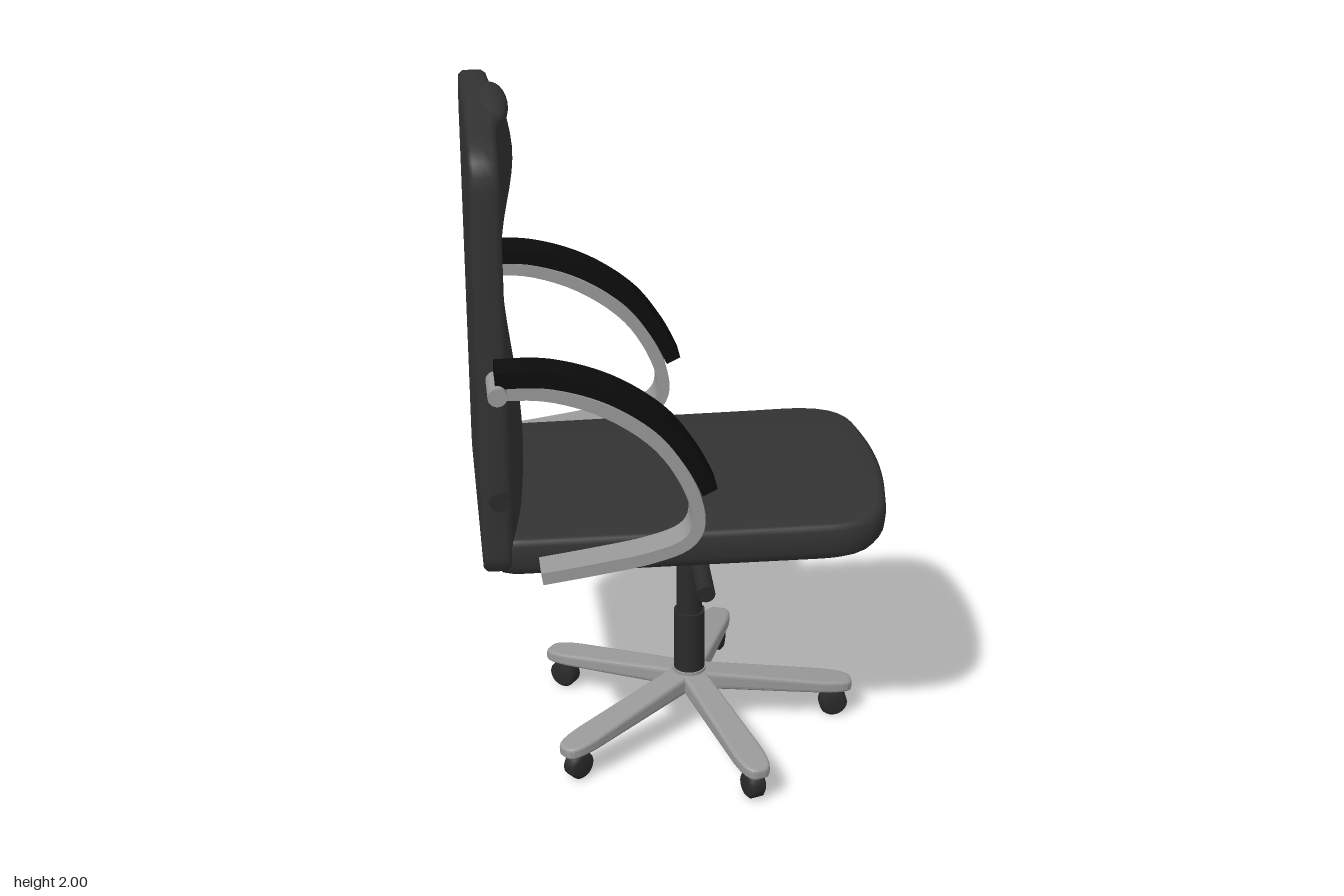
import * as THREE from 'three';

const mat = (color) => new THREE.MeshStandardMaterial({ color });
const leather = mat(0x333333), rubber = mat(0x0c0c0c), plastic = mat(0x2a2a2a), metal = mat(0x999999);
const V = (x, y, z) => new THREE.Vector3(x, y, z);

function add(parent, name, geometry, material) {
  const mesh = new THREE.Mesh(geometry, material);
  mesh.name = name;
  parent.add(mesh);
  return mesh;
}

// Cylinder running between two points
function rod(parent, name, a, b, r, material) {
  const d = b.clone().sub(a);
  const mesh = add(parent, name, new THREE.CylinderGeometry(r, r, d.length(), 24), material);
  mesh.position.copy(a).lerp(b, 0.5);
  mesh.quaternion.setFromUnitVectors(V(0, 1, 0), d.normalize());
  return mesh;
}

// Soft pad: rings of one outline, from the bottom centre round the rim to the top centre.
// section rows are [scale, height 0..1]; top(x, z) is the height of the upper face.
function cushion(shape, section, top) {
  const outline = shape.getSpacedPoints(96), n = outline.length, pos = [], idx = [];
  for (const [s, h] of section) {
    for (const p of outline) {
      const x = p.x * s, z = p.y * s;
      pos.push(x, h * top(x, z), z);
    }
  }
  for (let j = 0; j < section.length - 1; j++) {
    for (let i = 0; i < n; i++) {
      const a = j * n + i, b = j * n + (i + 1) % n;
      idx.push(a, a + n, b, b, a + n, b + n);
    }
  }
  const g = new THREE.BufferGeometry();
  g.setAttribute('position', new THREE.Float32BufferAttribute(pos, 3));
  g.setIndex(idx);
  g.computeVertexNormals();
  return g;
}

// Section with a rounded rim and finely divided upper face
function padSection(rim) {
  const rows = [[0.001, 0], [0.5, 0], [0.93, 0], ...rim];
  for (let i = 1; i <= 16; i++) rows.push([0.965 * (1 - i / 16) + 0.001, 1]);
  return rows;
}

// Flat strip that follows a curve in the side plane, between two offsets from it
function ribbon(points, inner, outer, width) {
  const curve = new THREE.SplineCurve(points.map(([x, y]) => new THREE.Vector2(x, y)));
  const a = [], b = [];
  for (let i = 0; i <= 40; i++) {
    const p = curve.getPoint(i / 40), t = curve.getTangent(i / 40);
    const n = new THREE.Vector2(-t.y, t.x);
    a.push(p.clone().addScaledVector(n, outer));
    b.unshift(p.clone().addScaledVector(n, inner));
  }
  return new THREE.ExtrudeGeometry(new THREE.Shape([...a, ...b]), { depth: width, bevelEnabled: false });
}

const bell = (d, w) => Math.exp(-(d * d) / (w * w));

function buildSeat(chair) {
  const s = new THREE.Shape();
  s.moveTo(-0.55, -0.38);
  s.lineTo(0.38, -0.39);
  s.bezierCurveTo(0.5, -0.39, 0.53, -0.33, 0.545, -0.2);
  s.quadraticCurveTo(0.575, 0, 0.545, 0.2);
  s.bezierCurveTo(0.53, 0.33, 0.5, 0.39, 0.38, 0.39);
  s.lineTo(-0.55, 0.38);
  s.closePath();
  const rim = [[0.975, 0.1], [1, 0.3], [1.005, 0.6], [1, 0.85], [0.985, 0.96], [0.965, 1]];
  const g = cushion(s, padSection(rim), (x, z) =>
    0.125 + 0.012 * bell(x - 0.42, 0.14) * bell(z, 0.24) - 0.01 * bell(Math.abs(z) - 0.39, 0.1));
  // Sweep the underside up towards the front lip
  const p = g.attributes.position;
  for (let i = 0; i < p.count; i++) {
    const k = Math.max(0, (p.getX(i) - 0.38) / 0.2), h = p.getY(i) / 0.13;
    p.setX(i, p.getX(i) + 0.018 * k);
    p.setY(i, p.getY(i) + 0.03 * k * k * Math.max(0, 1 - h));
  }
  g.computeVertexNormals();
  add(chair, 'seatCushion', g, leather).position.set(0.005, 0.737, 0);
}

function buildBack(chair) {
  // Outline lies flat with the top edge towards -x, then is stood upright
  const s = new THREE.Shape();
  s.moveTo(-0.52, -0.385);
  s.lineTo(0.59, -0.39);
  s.quadraticCurveTo(0.615, -0.39, 0.615, -0.36);
  s.lineTo(0.615, 0.36);
  s.quadraticCurveTo(0.615, 0.39, 0.59, 0.39);
  s.lineTo(-0.52, 0.385);
  s.quadraticCurveTo(-0.605, 0.38, -0.61, 0.28);
  s.lineTo(-0.615, 0);
  s.lineTo(-0.61, -0.28);
  s.quadraticCurveTo(-0.605, -0.38, -0.52, -0.385);
  const rim = [[0.985, 0.02], [1, 0.15], [1.002, 0.5], [1, 0.8], [0.987, 0.95], [0.967, 1]];
  const g = cushion(s, padSection(rim), (x, z) => {
    const y = 1.37 - x;
    const across = Math.max(0, 1 - (z / 0.39) ** 2);
    const lumbar = 0.055 * across * bell(y - 1.0, 0.36);
    const head = 0.052 * bell((z + 0.03) / 0.23, 0.9) ** 2 * bell(y - 1.83, 0.19);
    return 0.08 + lumbar + head;
  });
  g.rotateZ(-Math.PI / 2);
  add(chair, 'backCushion', g, leather).position.set(-0.585, 1.37, 0);
  // Raised crown of the headrest
  const crown = add(chair, 'headrestCrown', new THREE.SphereGeometry(1, 24, 16), leather);
  crown.scale.set(0.045, 0.04, 0.16);
  crown.position.set(-0.505, 1.96, -0.05);
}

function buildArms(chair) {
  const loop = [[-0.55, 1.345], [-0.4, 1.335], [-0.25, 1.28], [-0.12, 1.185], [-0.04, 1.07], [-0.002, 0.95],
    [-0.03, 0.875], [-0.13, 0.835], [-0.27, 0.81], [-0.43, 0.787]];
  const top = [[-0.54, 1.36], [-0.4, 1.355], [-0.25, 1.305], [-0.12, 1.215], [-0.04, 1.11], [0.008, 1.015]];
  for (const side of [1, -1]) {
    const arm = new THREE.Group();
    arm.name = side > 0 ? 'leftArm' : 'rightArm';
    const z = side > 0 ? 0.388 : -0.482;
    add(arm, 'armLoop', ribbon(loop, -0.018, 0.018, 0.094), metal).position.z = z;
    add(arm, 'armPad', ribbon(top, 0, 0.045, 0.096), rubber).position.z = z - 0.001;
    rod(arm, 'armPin', V(-0.535, 1.345, side * 0.36), V(-0.535, 1.345, side * 0.503), 0.026, metal);
    rod(arm, 'backBolt', V(-0.535, 0.985, side * 0.36), V(-0.535, 0.985, side * 0.4), 0.028, plastic);
    chair.add(arm);
  }
}

function buildColumn(chair) {
  const c = 0.03;
  rod(chair, 'lowerSleeve', V(c, 0.18, 0), V(c, 0.39, 0), 0.046, plastic);
  rod(chair, 'upperSleeve', V(c, 0.38, 0), V(c, 0.585, 0), 0.038, plastic);
  rod(chair, 'gasPiston', V(c, 0.57, 0), V(c, 0.735, 0), 0.03, metal);
  add(chair, 'mountingPlate', new THREE.BoxGeometry(0.29, 0.014, 0.29), metal).position.set(c, 0.735, 0);
  rod(chair, 'leverRod', V(c, 0.705, 0), V(c, 0.67, 0.27), 0.015, metal);
  rod(chair, 'leverGrip', V(c, 0.673, 0.25), V(c, 0.658, 0.39), 0.026, plastic);
  rod(chair, 'tiltKnob', V(c, 0.71, -0.01), V(c, 0.69, -0.075), 0.027, plastic);
}

function buildBase(chair) {
  const base = new THREE.Group();
  base.name = 'starBase';
  base.position.x = 0.03;
  const plan = new THREE.Shape();
  plan.moveTo(0, -0.028);
  plan.lineTo(0.4, -0.036);
  plan.quadraticCurveTo(0.485, -0.034, 0.485, -0.01);
  plan.lineTo(0.485, 0.01);
  plan.quadraticCurveTo(0.485, 0.034, 0.4, 0.036);
  plan.lineTo(0, 0.028);
  plan.closePath();
  const legGeo = new THREE.ExtrudeGeometry(plan, {
    depth: 0.02, bevelThickness: 0.01, bevelSize: 0.01, bevelSegments: 3, curveSegments: 6 });
  legGeo.rotateX(-Math.PI / 2);
  // Slope the leg down and thin it towards the tip
  const p = legGeo.attributes.position;
  for (let i = 0; i < p.count; i++) {
    const k = p.getX(i) / 0.49, h = (p.getY(i) + 0.01) / 0.04;
    p.setY(i, THREE.MathUtils.lerp(0.135, 0.085, k) + h * THREE.MathUtils.lerp(0.06, 0.035, k));
  }
  legGeo.computeVertexNormals();

  for (let i = 0; i < 5; i++) {
    const spoke = new THREE.Group();
    spoke.name = 'spoke' + (i + 1);
    spoke.rotation.y = i * Math.PI * 2 / 5;
    add(spoke, 'leg', legGeo, metal);
    rod(spoke, 'casterStem', V(0.44, 0.04, 0), V(0.44, 0.1, 0), 0.014, plastic);
    // Caster with rounded shoulders
    const tyre = [[0, -0.026], [0.032, -0.026], [0.042, -0.017], [0.042, 0.017], [0.032, 0.026], [0, 0.026]]
      .map(([r, y]) => new THREE.Vector2(r, y));
    const wheel = add(spoke, 'casterWheel', new THREE.LatheGeometry(tyre, 24), plastic);
    wheel.rotation.x = Math.PI / 2;
    wheel.position.set(0.44, 0.042, 0);
    base.add(spoke);
  }
  rod(base, 'hub', V(0, 0.13, 0), V(0, 0.197, 0), 0.05, metal);
  chair.add(base);
}

export function createModel() {
  const chair = new THREE.Group();
  chair.name = 'officeChair';
  buildSeat(chair);
  buildBack(chair);
  buildArms(chair);
  buildColumn(chair);
  buildBase(chair);
  return chair;
}
